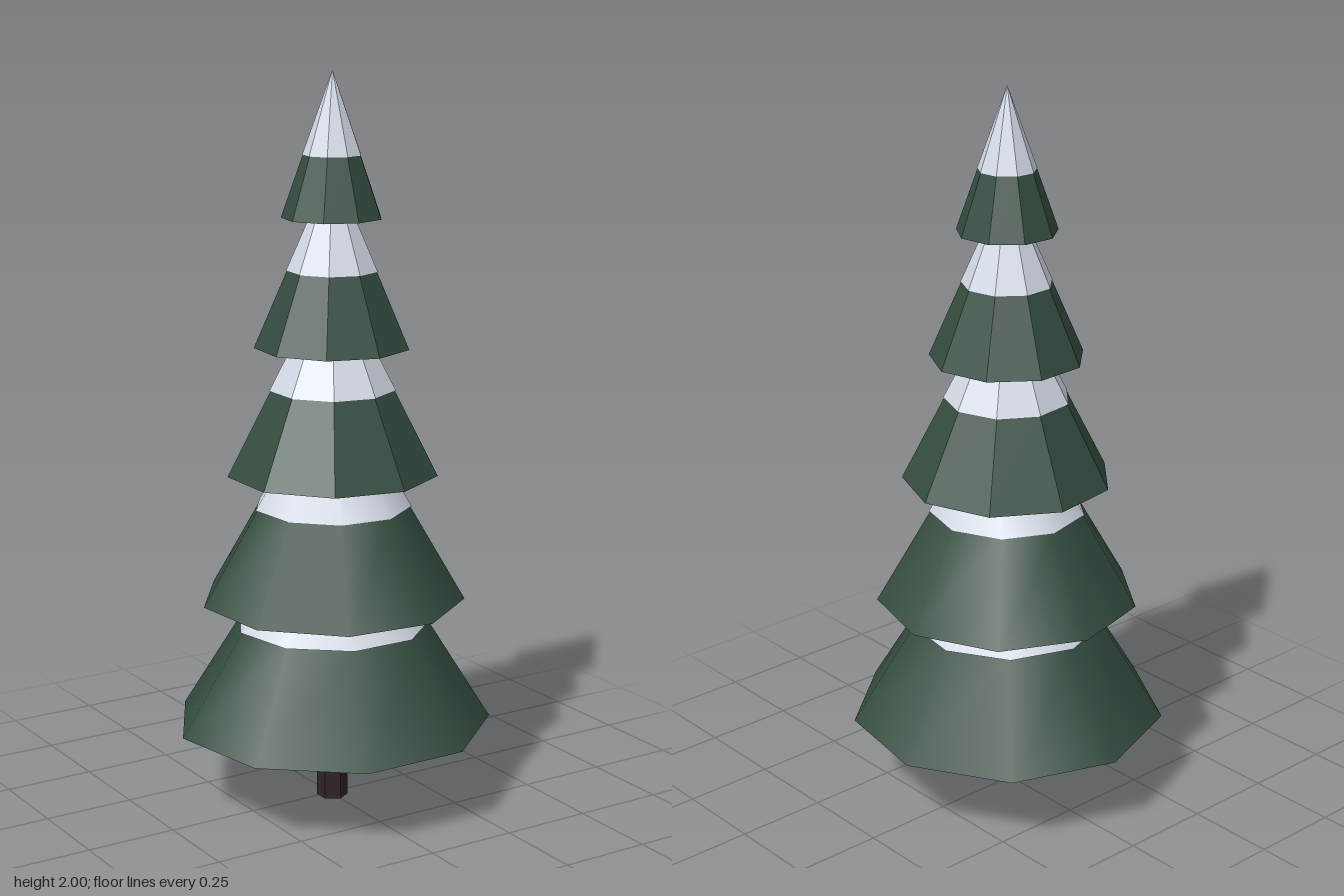
import * as THREE from 'three';

const SIDES = 9;
const AXIS_Z = 0.011;

// Foliage tiers: base height, base radius, cone height, height of the snow line, faceted or smooth
const TIERS = [
  { y: 0.225, r: 0.436, h: 0.70, snow: 0.503, faceted: false },
  { y: 0.575, r: 0.361, h: 0.62, snow: 0.833, faceted: false },
  { y: 0.925, r: 0.286, h: 0.56, snow: 1.155, faceted: true },
  { y: 1.27, r: 0.21, h: 0.485, snow: 1.475, faceted: true },
  { y: 1.615, r: 0.136, h: 0.385, snow: 1.78, faceted: true },
];

// Give every triangle its own flat normal
function facet(geometry) {
  const flat = geometry.toNonIndexed();
  flat.computeVertexNormals();
  return flat;
}

// Nine-sided cone section standing on y0
function section(name, rTop, rBottom, y0, y1, faceted, material) {
  let geometry = new THREE.CylinderGeometry(rTop, rBottom, y1 - y0, SIDES);
  if (faceted) geometry = facet(geometry);
  const mesh = new THREE.Mesh(geometry, material);
  mesh.name = name;
  mesh.position.y = (y0 + y1) / 2;
  return mesh;
}

export function createModel() {
  const needles = new THREE.MeshStandardMaterial({ color: 0x344d3f });
  needles.name = 'needle green';
  const snow = new THREE.MeshStandardMaterial({ color: 0xd6dce8 });
  snow.name = 'snow white';
  const bark = new THREE.MeshStandardMaterial({ color: 0x302425 });
  bark.name = 'bark brown';

  const tree = new THREE.Group();
  tree.name = 'snowyFirTree';

  // Hexagonal trunk
  const trunk = new THREE.Mesh(facet(new THREE.CylinderGeometry(0.043, 0.043, 0.3, 6)), bark);
  trunk.name = 'trunk';
  trunk.position.set(0, 0.15, AXIS_Z);
  tree.add(trunk);

  // Stacked tiers, each turned a little further than the one below
  TIERS.forEach(({ y, r, h, snow: line, faceted }, i) => {
    const tier = new THREE.Group();
    tier.name = `tier${i + 1}`;
    tier.position.z = AXIS_Z;
    tier.rotation.y = Math.PI - THREE.MathUtils.degToRad(5.55 * i);
    const rSnow = r * (1 - (line - y) / h);
    tier.add(section('branches', rSnow, r, y, line, faceted, needles));
    tier.add(section('snowCap', 0, rSnow * 1.02, line, y + h, faceted, snow));
    tree.add(tier);
  });

  return tree;
}
